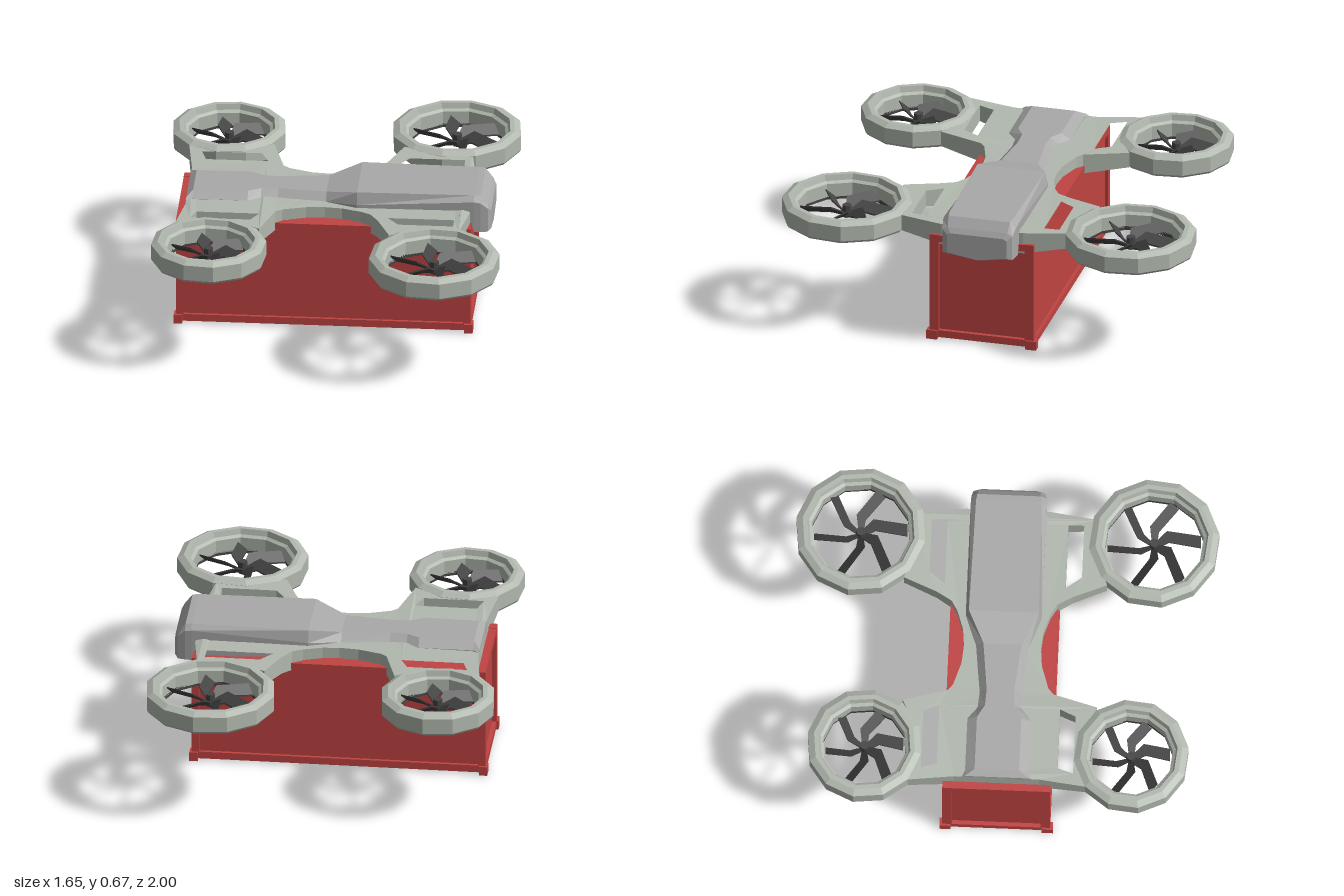
import * as THREE from 'three';

const mat = (color) => new THREE.MeshStandardMaterial({ color, flatShading: true });
const hullMat = mat(0xb2b9af);
const spineMat = mat(0xa9a9a9);
const bladeMat = mat(0x454545);
const redMat = mat(0xc04442);

function add(parent, name, geometry, material) {
  const mesh = new THREE.Mesh(geometry, material);
  mesh.name = name;
  parent.add(mesh);
  return mesh;
}

// Box given by its limits
function box(parent, name, x0, x1, y0, y1, z0, z1, material) {
  const g = new THREE.BoxGeometry(x1 - x0, y1 - y0, z1 - z0);
  g.translate((x0 + x1) / 2, (y0 + y1) / 2, (z0 + z1) / 2);
  return add(parent, name, g, material);
}

// Skin over equal-length loops of [x, y, z] points, closed at both ends
function loft(loops) {
  const pos = [];
  const n = loops[0].length;
  const tri = (...pts) => pts.forEach((p) => pos.push(...p));
  for (let s = 0; s < loops.length - 1; s++) {
    const a = loops[s], b = loops[s + 1];
    for (let i = 0; i < n; i++) {
      const j = (i + 1) % n;
      tri(a[i], b[i], b[j]);
      tri(a[i], b[j], a[j]);
    }
  }
  const first = loops[0], last = loops[loops.length - 1];
  for (let i = 1; i < n - 1; i++) {
    tri(first[0], first[i], first[i + 1]);
    tri(last[0], last[i + 1], last[i]);
  }
  const g = new THREE.BufferGeometry();
  g.setAttribute('position', new THREE.Float32BufferAttribute(pos, 3));
  g.computeVertexNormals();
  return g;
}

// Cargo container: recessed walls inside a frame of posts, rails and corner blocks
function createContainer() {
  const c = new THREE.Group();
  c.name = 'container';
  const X0 = -0.74, X1 = 0.655, Z = 0.255, T = 0.035;
  box(c, 'containerWalls', X0 + 0.02, X1 - 0.02, 0.02, 0.52, -Z + 0.015, Z - 0.015, redMat);
  for (const s of [-1, 1]) {
    const z0 = s > 0 ? Z - T : -Z, z1 = z0 + T;
    box(c, 'bottomSideRail', X0, X1, 0.01, 0.045, z0, z1, redMat);
    box(c, 'topSideRail', X0, X1, 0.505, 0.538, z0, z1, redMat);
    for (const x0 of [X0, X1 - T]) {
      box(c, 'cornerPost', x0, x0 + T, 0.02, 0.54, s > 0 ? Z - 0.045 : -Z, s > 0 ? Z : -Z + 0.045, redMat);
      const cx = x0 === X0 ? X0 - 0.01 : X1 - 0.03;
      box(c, 'cornerBlock', cx, cx + 0.04, 0, 0.045, s > 0 ? Z - 0.04 : -Z - 0.013, s > 0 ? Z + 0.013 : -Z + 0.04, redMat);
    }
  }
  for (const x0 of [X0, X1 - T]) {
    box(c, 'bottomEndRail', x0, x0 + T, 0.01, 0.045, -Z, Z, redMat);
    box(c, 'topEndRail', x0, x0 + T, 0.505, 0.538, -Z, Z, redMat);
  }
  return c;
}

// Flat frame with four slotted arms, thicker towards the spine
function createArmFrame() {
  const half = [
    [-0.7, 0.2], [-0.73, 0.42], [-0.65, 0.395], [-0.556, 0.39], [-0.45, 0.395], [-0.33, 0.46],
    [-0.27, 0.25], [-0.24, 0.225], [-0.13, 0.19], [-0.04, 0.182], [0.04, 0.19], [0.13, 0.22], [0.18, 0.25],
    [0.22, 0.32], [0.285, 0.48], [0.42, 0.43], [0.517, 0.42], [0.61, 0.43], [0.645, 0.2],
  ];
  const mirrored = half.map(([x, z]) => [x, -z]).reverse();
  const toPoints = (list) => list.map(([x, z]) => new THREE.Vector2(x, z));
  const shape = new THREE.Shape(toPoints([...half, ...mirrored]));
  const slots = [
    [[-0.665, 0.36], [-0.38, 0.36], [-0.345, 0.285], [-0.64, 0.285]],
    [[0.32, 0.36], [0.58, 0.36], [0.58, 0.285], [0.265, 0.285]],
  ];
  for (const slot of slots) {
    for (const s of [-1, 1]) shape.holes.push(new THREE.Path(toPoints(slot.map(([x, z]) => [x, s * z]))));
  }
  const g = new THREE.ExtrudeGeometry(shape, { depth: 1, bevelEnabled: false });
  g.rotateX(-Math.PI / 2);
  const p = g.attributes.position;
  for (let i = 0; i < p.count; i++) {
    const t = THREE.MathUtils.clamp((Math.abs(p.getZ(i)) - 0.2) / 0.2, 0, 1);
    const waist = Math.abs(p.getX(i) + 0.05) < 0.2;
    const bottom = waist ? 0.54 : THREE.MathUtils.lerp(0.49, 0.53, t);
    p.setY(i, p.getY(i) > 0.5 ? THREE.MathUtils.lerp(0.595, 0.605, t) : bottom);
  }
  g.computeVertexNormals();
  return g;
}

// Spine sections: x, keel y, lower side y, shoulder y, top y, half width, top half width
function createSpine() {
  const sections = [
    [-0.7, 0.53, 0.54, 0.595, 0.605, 0.165, 0.15],
    [-0.67, 0.53, 0.54, 0.6, 0.628, 0.15, 0.105],
    [-0.41, 0.53, 0.54, 0.6, 0.63, 0.15, 0.105],
    [-0.35, 0.53, 0.54, 0.595, 0.63, 0.11, 0.07],
    [-0.27, 0.53, 0.54, 0.595, 0.63, 0.1, 0.065],
    [-0.04, 0.53, 0.54, 0.595, 0.632, 0.125, 0.09],
    [0.11, 0.53, 0.54, 0.61, 0.67, 0.18, 0.165],
    [0.66, 0.5, 0.51, 0.645, 0.67, 0.18, 0.155],
    [0.665, 0.467, 0.49, 0.645, 0.67, 0.18, 0.155],
    [0.695, 0.467, 0.49, 0.64, 0.668, 0.178, 0.15],
    [0.73, 0.468, 0.49, 0.61, 0.625, 0.17, 0.145],
    [0.745, 0.475, 0.5, 0.59, 0.6, 0.145, 0.13],
  ];
  return loft(sections.map(([x, yk, yl, ys, yt, w, wt]) => [
    [x, yk, 0], [x, yl, w], [x, ys, w], [x, yt, wt], [x, yt, -wt], [x, ys, -w], [x, yl, -w],
  ]));
}

// Pitched blade with a swept root, pointing along +x
function createBlade(length) {
  const outline = [[0, -0.012], [0.07, 0.015], [1, -0.005], [1, 0.04], [0.06, 0.058], [0, 0.012]];
  const shape = new THREE.Shape(outline.map(([u, v]) => new THREE.Vector2(u === 1 ? length : u, v)));
  const g = new THREE.ExtrudeGeometry(shape, { depth: 0.008, bevelEnabled: false });
  g.rotateX(-Math.PI / 2);
  const p = g.attributes.position;
  for (let i = 0; i < p.count; i++) p.setY(i, p.getY(i) - p.getZ(i) * 0.9);
  g.computeVertexNormals();
  return g;
}

// Ducted rotor: faceted ring, dark lower rim, hub and six blades
function createRotor(name, x, z, R) {
  const r = new THREE.Group();
  r.name = name;
  r.position.set(x, 0, z);
  const turn = Math.sign(z) * Math.PI / 20;
  const lathe = (pts) => new THREE.LatheGeometry(pts.map(([a, b]) => new THREE.Vector2(a, b)), 12).rotateY(turn);
  const inner = R - 0.075;
  add(r, 'ductRing', lathe([
    [inner, 0.518], [R - 0.008, 0.518], [R, 0.53], [R, 0.605], [R - 0.03, 0.622],
    [R - 0.052, 0.622], [R - 0.06, 0.595], [inner, 0.585], [inner, 0.518],
  ]), hullMat);
  add(r, 'lowerRim', lathe([
    [inner, 0.505], [inner + 0.02, 0.505], [inner + 0.02, 0.525], [inner, 0.525], [inner, 0.505],
  ]), bladeMat);
  add(r, 'hub', new THREE.CylinderGeometry(0.022, 0.022, 0.06, 8).translate(0, 0.55, 0), bladeMat);
  const blade = createBlade(inner - 0.015);
  for (let i = 0; i < 6; i++) {
    const m = add(r, 'blade', blade, bladeMat);
    m.position.y = 0.525;
    m.rotation.y = THREE.MathUtils.degToRad(92 + i * 60);
  }
  return r;
}

export function createModel() {
  const model = new THREE.Group();
  model.name = 'cargoDrone';
  model.add(createContainer());
  add(model, 'armFrame', createArmFrame(), hullMat);
  add(model, 'spine', createSpine(), spineMat);
  for (const s of [-1, 1]) {
    model.add(createRotor('smallRotor', -0.556, s * 0.63, 0.273));
    model.add(createRotor('largeRotor', 0.517, s * 0.693, 0.31));
  }
  return model;
}
